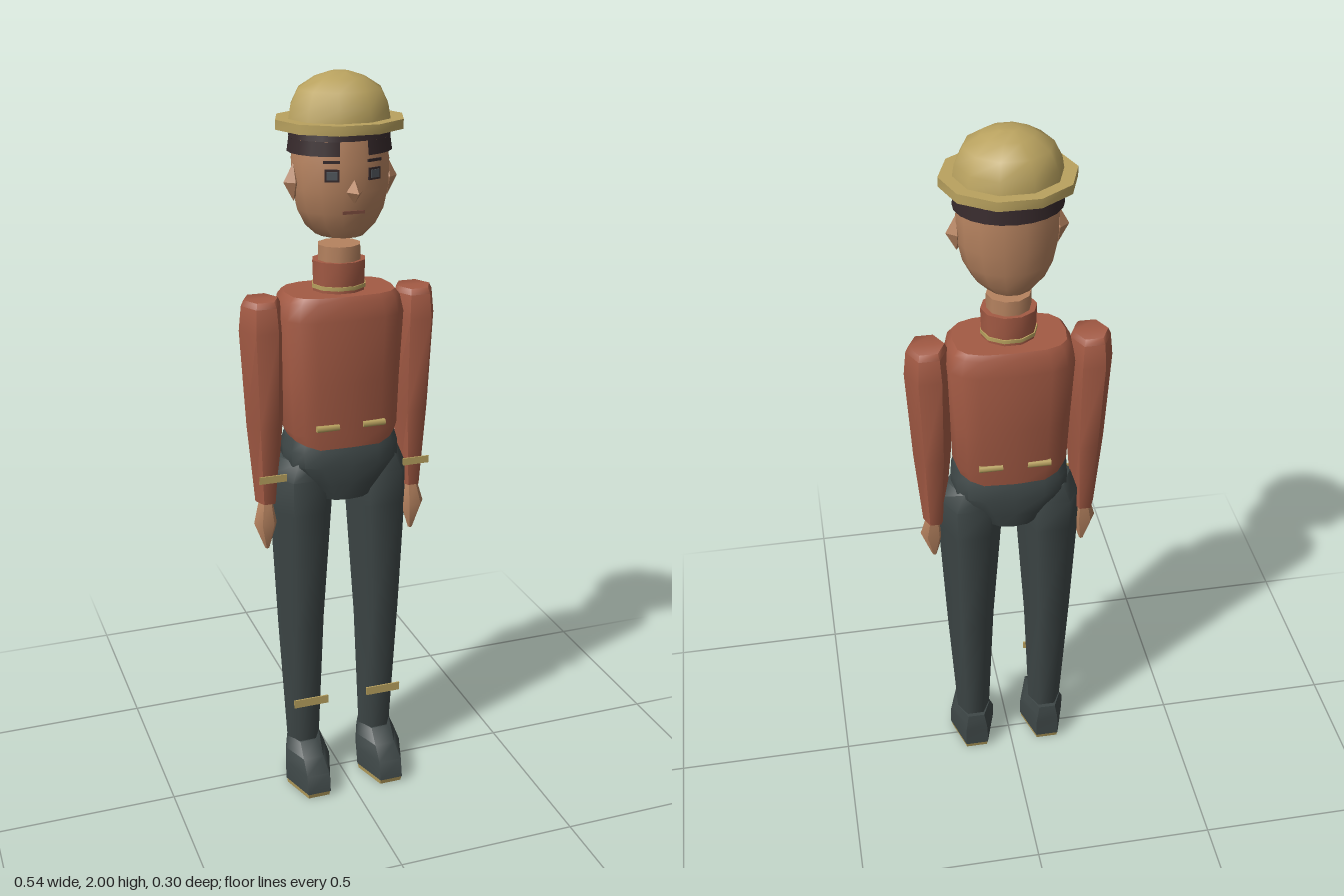
import * as THREE from 'three';
import { toCreasedNormals } from 'three/addons/utils/BufferGeometryUtils.js';

const mat = (name, color, side = THREE.FrontSide) => {
  const m = new THREE.MeshStandardMaterial({ color, side });
  m.name = name;
  return m;
};

// Closed body through rings [y, cx, cz, rx, rz], listed bottom to top.
// power < 1 squares the section; sag lifts the lowest ring towards the sides.
function loft(rings, sides, { power = 1, sag = 0, crease = 0.75 } = {}) {
  const pos = [], idx = [];
  const bend = v => Math.sign(v) * Math.pow(Math.abs(v), power);
  rings.forEach(([y, cx, cz, rx, rz], i) => {
    for (let j = 0; j < sides; j++) {
      const a = (j / sides) * Math.PI * 2;
      const c = bend(Math.cos(a)), s = bend(Math.sin(a));
      pos.push(cx + rx * c, y + (i === 0 ? sag * c * c : 0), cz + rz * s);
    }
  });
  const top = (rings.length - 1) * sides;
  for (let j = 0; j < sides; j++) {
    const k = (j + 1) % sides;
    for (let i = 0; i < top; i += sides) {
      idx.push(i + j, i + sides + j, i + k, i + k, i + sides + j, i + sides + k);
    }
    if (j > 0 && j < sides - 1) idx.push(0, j, k, top, top + k, top + j);
  }
  const g = new THREE.BufferGeometry();
  g.setAttribute('position', new THREE.Float32BufferAttribute(pos, 3));
  g.setIndex(idx);
  return toCreasedNormals(g, crease);
}

export function createModel() {
  const model = new THREE.Group();
  model.name = 'uniformedFigure';
  const gold = mat('gold', 0xb9a25f);
  const red = mat('jacketRed', 0xa35a44);
  const dark = mat('trouserGrey', 0x3e4747);
  const skin = mat('skin', 0xb5825f);
  const hair = mat('hairBrown', 0x36292b, THREE.DoubleSide);
  const eye = mat('eyeGrey', 0x50565c);
  const lip = mat('lipBrown', 0x7c4b3e);

  const add = (name, geo, m, x = 0, y = 0, z = 0) => {
    const mesh = new THREE.Mesh(geo, m);
    mesh.name = name;
    mesh.position.set(x, y, z);
    model.add(mesh);
    return mesh;
  };
  const box = (w, h, d) => new THREE.BoxGeometry(w, h, d);

  // Hat: flat ten-sided brim and rounded dome
  add('hatBrim', loft([
    [1.866, 0, 0, 0.167, 0.156], [1.89, 0, 0, 0.167, 0.156]], 10), gold);
  add('hatDome', loft([
    [1.885, 0, 0, 0.134, 0.126], [1.92, 0, 0, 0.128, 0.12], [1.96, 0, 0, 0.108, 0.1],
    [1.987, 0, 0, 0.065, 0.06], [2.0, 0, 0, 0.025, 0.023]], 10, { crease: 1.2 }), gold);

  // Head with ears and nose
  add('head', loft([
    [1.6, 0, 0, 0.065, 0.078], [1.625, 0, 0, 0.092, 0.09], [1.665, 0, 0.003, 0.113, 0.1],
    [1.72, 0, 0.004, 0.125, 0.107], [1.79, 0, 0.004, 0.127, 0.107],
    [1.87, 0, 0, 0.112, 0.095]], 14, { crease: 1.0 }), skin);
  const diamond = () => new THREE.OctahedronGeometry(1);
  add('nose', diamond(), skin, 0, 1.723, 0.112).scale.set(0.021, 0.03, 0.034);
  for (const s of [1, -1]) {
    add('ear', diamond(), skin, s * 0.125, 1.737, 0.01).scale.set(0.026, 0.048, 0.02);
    // Eyes and brows follow the curve of the face
    add('eyeRim', box(0.036, 0.03, 0.004), hair, s * 0.055, 1.764, 0.103).rotation.y = s * 0.35;
    add('eye', box(0.026, 0.02, 0.006), eye, s * 0.0555, 1.764, 0.104).rotation.y = s * 0.35;
    add('brow', box(0.042, 0.007, 0.004), hair, s * 0.056, 1.797, 0.102).rotation.y = s * 0.35;
  }
  add('mouth', box(0.058, 0.008, 0.004), lip, 0, 1.671, 0.106);

  // Hair: band under the hat, open over the forehead
  const band = (name, rt, rb, y0, y1, gap) => {
    const g = new THREE.CylinderGeometry(rt, rb, y1 - y0, 20, 1, true, gap, Math.PI * 2 - 2 * gap);
    add(name, g, hair, 0, (y0 + y1) / 2, 0).scale.z = 0.85;
  };
  band('hairBand', 0.122, 0.13, 1.845, 1.885, 0);
  band('hairSides', 0.13, 0.135, 1.81, 1.845, 0.28);

  // Neck and banded collar
  add('neck', loft([[1.44, 0, -0.003, 0.058, 0.056], [1.57, 0, -0.003, 0.057, 0.055]], 10), skin);
  add('collarBase', loft([[1.435, 0, -0.005, 0.07, 0.063], [1.46, 0, -0.005, 0.07, 0.063]], 10), red);
  add('collarTrim', loft([[1.458, 0, -0.005, 0.073, 0.066], [1.468, 0, -0.005, 0.073, 0.066]], 10), gold);
  add('collar', loft([[1.468, 0, -0.005, 0.07, 0.063], [1.53, 0, -0.005, 0.072, 0.064]], 10), red);

  // Jacket body and trouser seat
  add('torso', loft([
    [1.028, 0, -0.005, 0.145, 0.095], [1.08, 0, -0.006, 0.152, 0.099],
    [1.22, 0, -0.009, 0.157, 0.107], [1.39, 0, -0.009, 0.167, 0.109],
    [1.435, 0, -0.009, 0.157, 0.101], [1.45, 0, -0.009, 0.145, 0.093]],
  16, { power: 0.62, sag: 0.035 }), red);
  add('pelvis', loft([
    [0.89, 0, -0.005, 0.075, 0.09], [0.935, 0, -0.005, 0.11, 0.1],
    [0.99, 0, -0.005, 0.158, 0.105], [1.03, 0, -0.005, 0.158, 0.1],
    [1.06, 0, -0.005, 0.15, 0.088]], 16, { power: 0.72 }), dark);

  for (const s of [1, -1]) {
    // Bar buttons, front and back
    for (const z of [0.092, -0.104]) {
      const b = add('button', new THREE.CylinderGeometry(0.009, 0.009, 0.062, 6), gold, s * 0.064, 1.103, z);
      b.rotation.z = Math.PI / 2;
    }

    // Six-sided sleeve, cuff strip and pointed hand
    add('sleeve', loft([
      [0.88, s * 0.207, -0.007, 0.03, 0.04], [1.1, s * 0.206, -0.009, 0.05, 0.055],
      [1.36, s * 0.21, -0.01, 0.06, 0.069], [1.425, s * 0.21, -0.01, 0.053, 0.063],
      [1.44, s * 0.21, -0.01, 0.046, 0.052]], 6, { crease: 1.1 }), red);
    add('cuffStrip', box(0.075, 0.02, 0.004), gold, s * 0.203, 0.961, 0.05);
    add('hand', loft([
      [0.742, s * 0.209, 0.002, 0.006, 0.007], [0.82, s * 0.212, 0.004, 0.033, 0.031],
      [0.89, s * 0.208, -0.005, 0.018, 0.02]], 6), skin);

    // Tapered leg with shin strip
    add('leg', loft([
      [0.11, s * 0.109, -0.006, 0.047, 0.05], [0.5, s * 0.112, -0.006, 0.067, 0.069],
      [0.85, s * 0.108, -0.007, 0.088, 0.089], [0.95, s * 0.108, -0.008, 0.091, 0.095],
      [1.0, s * 0.1, -0.008, 0.07, 0.08]], 6, { crease: 1.1 }), dark);
    add('shinStrip', box(0.1, 0.024, 0.004), gold, s * 0.108, 0.274, 0.068);

    // Shoe with thin sole
    add('sole', loft([
      [0, s * 0.109, 0.036, 0.062, 0.115], [0.016, s * 0.109, 0.036, 0.064, 0.12]], 6), gold);
    add('shoe', loft([
      [0.016, s * 0.109, 0.037, 0.066, 0.122], [0.07, s * 0.109, 0.032, 0.066, 0.115],
      [0.1, s * 0.109, 0.01, 0.058, 0.09], [0.13, s * 0.109, -0.01, 0.048, 0.06]],
    6, { crease: 0.95 }), dark);
  }
  return model;
}
